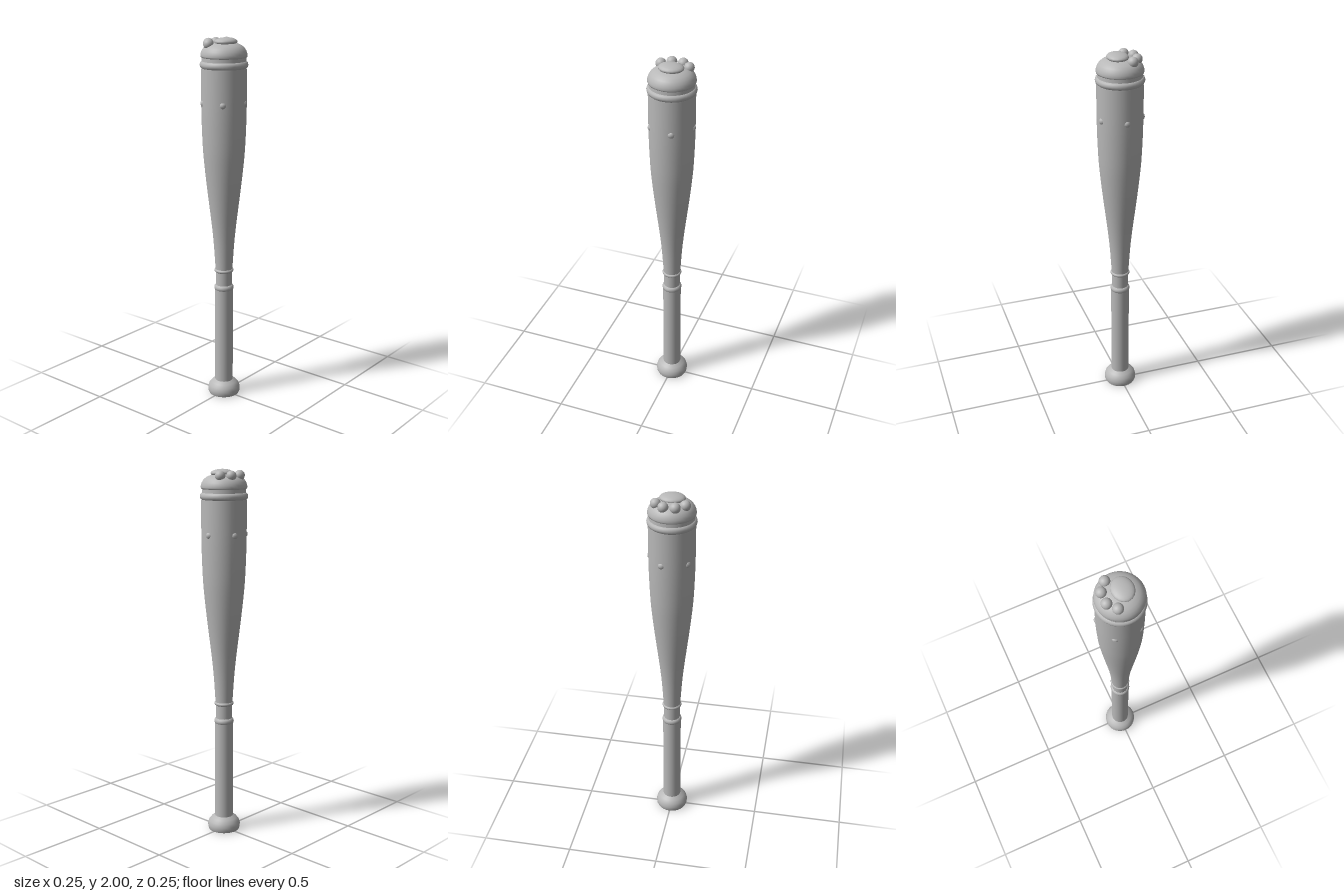
import * as THREE from 'three';

const grey = new THREE.MeshStandardMaterial({ color: 0xb8b8b8 });
grey.name = 'plain grey';

export function createModel() {
  const model = new THREE.Group();
  model.name = 'bat';

  const add = (name, geometry, x = 0, y = 0, z = 0) => {
    const mesh = new THREE.Mesh(geometry, grey);
    mesh.name = name;
    mesh.position.set(x, y, z);
    model.add(mesh);
    return mesh;
  };
  const lathe = (name, points) =>
    add(name, new THREE.LatheGeometry(points.map(([r, y]) => new THREE.Vector2(r, y)), 40));
  const ring = (name, radius, y, tube, stretch = 1) => {
    const geometry = new THREE.TorusGeometry(radius, tube, 10, 40).rotateX(Math.PI / 2);
    add(name, geometry, 0, y).scale.y = stretch;
  };

  // Knob with a flat base
  add('knobBase', new THREE.CircleGeometry(0.084, 40).rotateX(Math.PI / 2));
  lathe('knob', [[0.084, 0], [0.089, 0.012], [0.09, 0.03], [0.084, 0.05], [0.07, 0.067], [0.05, 0.08]]);

  // Grip, its end ring and the narrow neck
  add('grip', new THREE.CylinderGeometry(0.05, 0.05, 0.56, 40), 0, 0.345);
  ring('gripRing', 0.04, 0.635, 0.014, 1.25);
  add('neck', new THREE.CylinderGeometry(0.044, 0.044, 0.13, 40), 0, 0.675);
  ring('neckRing', 0.043, 0.735, 0.01);

  // Smoothly swelling barrel
  const barrel = new THREE.SplineCurve([
    [0.046, 0.73], [0.05, 0.8], [0.057, 0.9], [0.067, 1.0], [0.079, 1.1], [0.091, 1.2],
    [0.102, 1.3], [0.111, 1.4], [0.116, 1.5], [0.119, 1.6], [0.12, 1.7], [0.12, 1.84],
  ].map(([r, y]) => new THREE.Vector2(r, y)));
  add('barrel', new THREE.LatheGeometry(barrel.getPoints(33), 40));
  ring('barrelRing', 0.109, 1.86, 0.018, 1.15);
  add('capNeck', new THREE.CylinderGeometry(0.115, 0.118, 0.07, 40), 0, 1.87);

  // Rounded cap
  lathe('cap', [
    [0.114, 1.897], [0.12, 1.899], [0.122, 1.906], [0.121, 1.918], [0.116, 1.932], [0.107, 1.946],
    [0.093, 1.958], [0.074, 1.967], [0.05, 1.973], [0.025, 1.976], [0, 1.977],
  ]);

  // Paw pads on the cap
  add('palmPad', new THREE.SphereGeometry(1, 16, 12), 0, 1.978, 0.013).scale.set(0.066, 0.022, 0.056);
  for (const side of [-1, 1]) {
    add('innerToe', new THREE.SphereGeometry(0.027, 20, 14), side * 0.03, 1.967, -0.08);
    add('outerToe', new THREE.SphereGeometry(0.027, 20, 14), side * 0.074, 1.967, -0.043);
  }

  // Five studs around the barrel
  for (let i = 0; i < 5; i++) {
    const a = (i * Math.PI * 2) / 5;
    add('stud', new THREE.SphereGeometry(0.021, 12, 8), Math.cos(a) * 0.106, 1.662, Math.sin(a) * 0.106);
  }
  return model;
}
